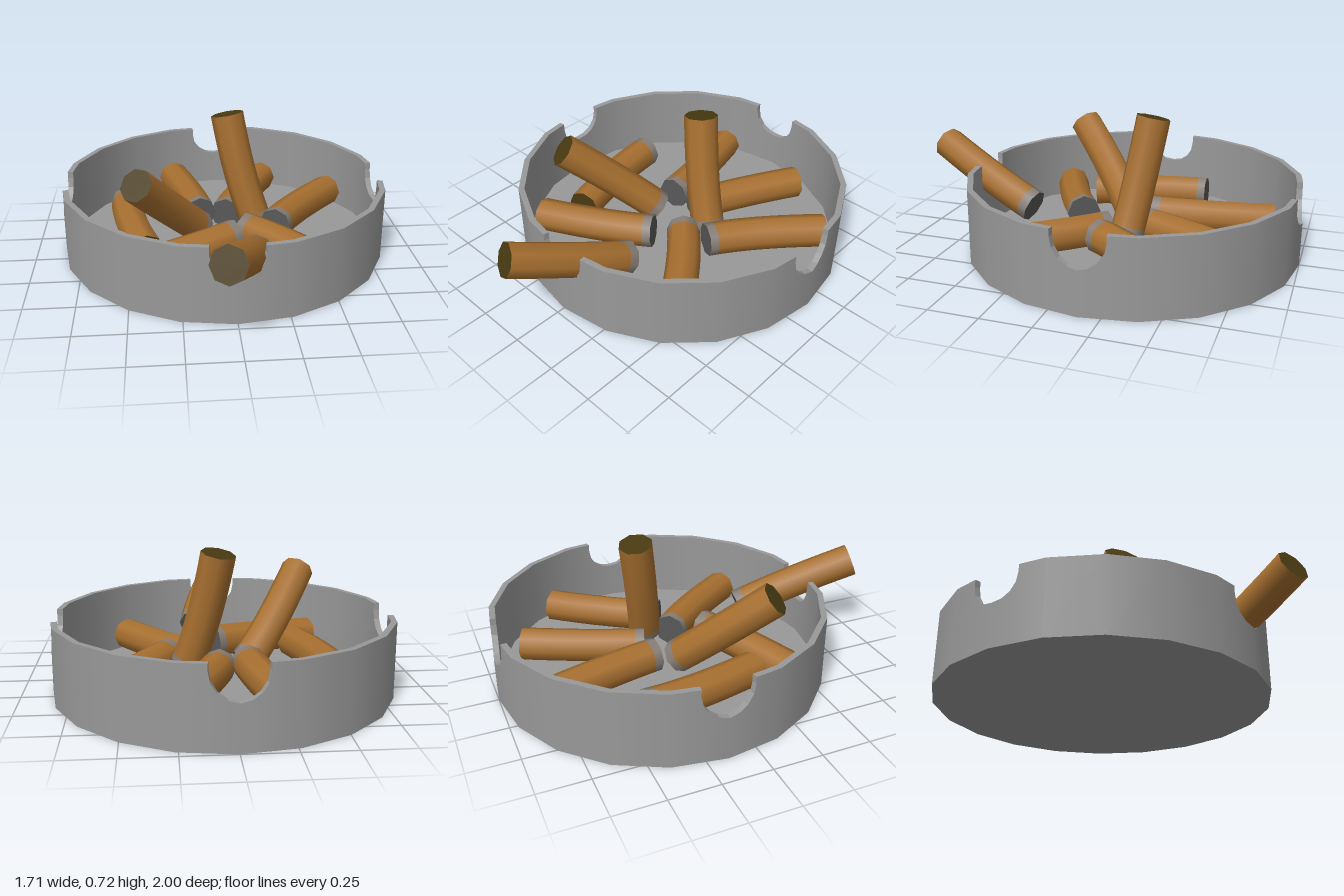
import * as THREE from 'three';

const R = 0.855, WALL = 0.03, HEIGHT = 0.385, FLOOR = 0.03, SIDES = 20;
const NOTCH_R = 0.13, NOTCH_Y = 0.35, BUTT_R = 0.087;

const mat = (name, color, side = THREE.FrontSide) => {
  const m = new THREE.MeshStandardMaterial({ color, side });
  m.name = name;
  return m;
};

function named(geometry, material, name) {
  const mesh = new THREE.Mesh(geometry, material);
  mesh.name = name;
  return mesh;
}

// Strip of quads between two rows of points; sign gives smooth radial normals (0 = flat)
function strip(low, high, sign) {
  const pos = [];
  low.forEach((a, i) => {
    const j = (i + 1) % low.length, b = low[j], c = high[j], d = high[i];
    for (const p of [a, b, c, a, c, d]) pos.push(p.x, p.y, p.z);
  });
  const g = new THREE.BufferGeometry();
  g.setAttribute('position', new THREE.Float32BufferAttribute(pos, 3));
  g.computeVertexNormals();
  if (sign) {
    const n = g.attributes.normal;
    for (let i = 0; i < n.count; i++) {
      const l = sign / Math.hypot(pos[i * 3], pos[i * 3 + 2]);
      n.setXYZ(i, pos[i * 3] * l, 0, pos[i * 3 + 2] * l);
    }
  }
  return g;
}

// Columns around the bowl: four round notches with plain corners between them
function bowlColumns() {
  const cols = [];
  for (let k = 0; k < 4; k++) {
    const th = k * Math.PI / 2;
    const add = (s, y) => {
      const r = R - Math.abs(s) * Math.tan(Math.PI / SIDES);
      cols.push(new THREE.Vector3(r * Math.sin(th) + s * Math.cos(th), y, r * Math.cos(th) - s * Math.sin(th)));
    };
    add(-NOTCH_R, HEIGHT);
    for (let i = 0; i <= 8; i++) {
      const a = Math.PI + i * Math.PI / 8;
      add(NOTCH_R * Math.cos(a), NOTCH_Y + NOTCH_R * Math.sin(a));
    }
    add(NOTCH_R, HEIGHT);
    for (let i = 1; i < SIDES / 4; i++) {
      const a = th + i * 2 * Math.PI / SIDES;
      cols.push(new THREE.Vector3(R * Math.sin(a), HEIGHT, R * Math.cos(a)));
    }
  }
  return cols;
}

function makeBowl(grey) {
  const bowl = new THREE.Group();
  bowl.name = 'bowl';
  const k = (R - WALL) / R;
  const outerTop = bowlColumns();
  const outerLow = outerTop.map(p => new THREE.Vector3(p.x, 0, p.z));
  const innerTop = outerTop.map(p => new THREE.Vector3(p.x * k, p.y, p.z * k));
  const innerLow = innerTop.map(p => new THREE.Vector3(p.x, FLOOR, p.z));
  bowl.add(
    named(strip(outerLow, outerTop, 1), grey, 'outerWall'),
    named(strip(outerTop, innerTop, 0), grey, 'rim'),
    named(strip(innerTop, innerLow, -1), grey, 'innerWall'),
    named(new THREE.CircleGeometry(R, SIDES).rotateX(Math.PI / 2), grey, 'base'),
    named(new THREE.CircleGeometry(R - WALL, SIDES).rotateX(-Math.PI / 2).translate(0, FLOOR, 0), grey, 'floor')
  );
  bowl.position.z = -0.145;
  return bowl;
}

// Flat end cap from one ring of a tube
function capGeometry(tube, ring, flip) {
  const p = tube.attributes.position, pts = [], index = [];
  for (let i = 0; i < 8; i++) {
    const v = ring * 9 + i;
    pts.push(p.getX(v), p.getY(v), p.getZ(v));
    if (i > 0 && i < 7) index.push(0, flip ? i + 1 : i, flip ? i : i + 1);
  }
  const g = new THREE.BufferGeometry();
  g.setAttribute('position', new THREE.Float32BufferAttribute(pts, 3));
  g.setIndex(index);
  g.computeVertexNormals();
  return g;
}

// Slightly bent stub: filter end, ash end, sideways bow of the middle
function makeButt(filter, ash, bow, m) {
  const a = new THREE.Vector3(...filter), b = new THREE.Vector3(...ash);
  const mid = a.clone().lerp(b, 0.6).add(new THREE.Vector3(...bow).multiplyScalar(2));
  const segs = 14, body = segs - 1;
  const tube = new THREE.TubeGeometry(new THREE.QuadraticBezierCurve3(a, mid, b), segs, BUTT_R, 8);
  tube.addGroup(0, body * 48, 0);
  tube.addGroup(body * 48, 48, 1);
  const butt = new THREE.Group();
  butt.name = 'butt';
  butt.add(
    named(tube, [m.paper, m.ash], 'stub'),
    named(capGeometry(tube, 0, false), m.filter, 'filterEnd'),
    named(capGeometry(tube, segs, true), m.char, 'burntEnd')
  );
  return butt;
}

export function createModel() {
  const m = {
    grey: mat('bowl grey', 0x999999),
    paper: mat('tan paper', 0xa87030),
    filter: mat('dark olive filter', 0x483a12),
    ash: mat('ash grey', 0x877e76),
    char: mat('charred grey', 0x585858)
  };
  const model = new THREE.Group();
  model.name = 'ashtray';
  model.add(makeBowl(m.grey));

  const butts = [
    [[-0.255, 0.125, -0.83], [-0.12, 0.145, -0.21], [0.01, 0, 0]],
    [[0.29, 0.12, -0.80], [0.02, 0.13, -0.22], [-0.015, 0, 0]],
    [[0.655, 0.12, -0.545], [0.27, 0.14, -0.04], [-0.015, 0, -0.01]],
    [[0.5, 0.12, 0.45], [0.11, 0.125, -0.04], [0.015, 0, -0.01]],
    [[-0.065, 0.44, 0.96], [0.115, 0.19, 0.37], [0.015, 0, 0]],
    [[-0.53, 0.12, 0.39], [0.04, 0.16, 0.115], [0, 0, 0.015]],
    [[-0.45, 0.52, 0.28], [-0.13, 0.11, -0.1], [-0.01, 0, -0.01]],
    [[0.03, 0.70, -0.25], [0.18, 0.12, -0.16], [-0.015, 0, 0]],
    [[-0.41, 0.13, 0.2], [-0.53, 0.14, -0.42], [-0.02, 0, 0]]
  ];
  for (const [filter, ash, bow] of butts) model.add(makeButt(filter, ash, bow, m));
  return model;
}
